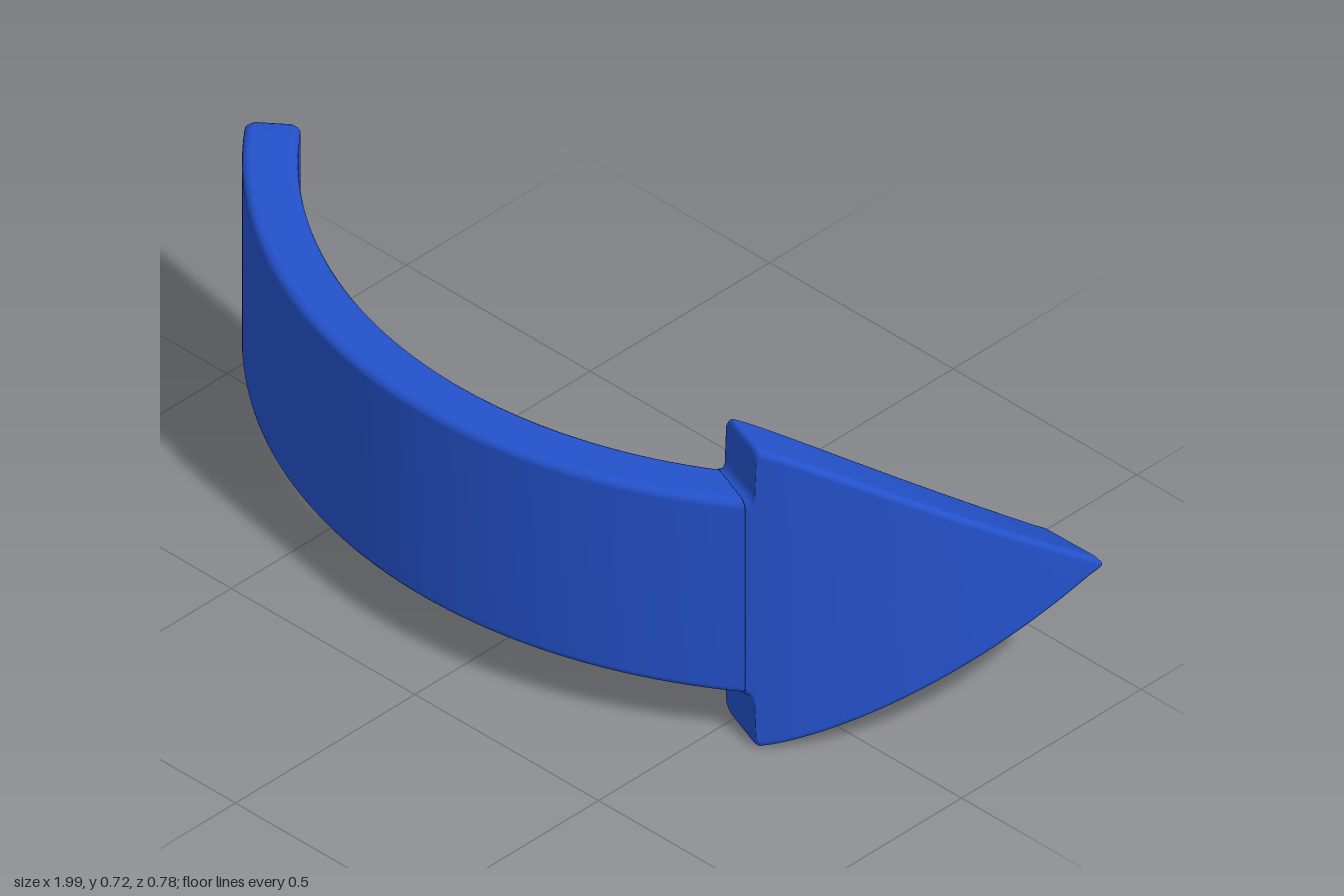
import * as THREE from 'three';

const CENTRE = [-0.09, -0.77]; // x, z of the bend axis
const MID_Y = 0.358;
const lerp = THREE.MathUtils.lerp;

// Point on the bend: angle in degrees from +z towards +x
function polar(deg, radius) {
  const a = THREE.MathUtils.degToRad(deg);
  return [CENTRE[0] + radius * Math.sin(a), CENTRE[1] + radius * Math.cos(a)];
}

// Rounded rectangle from the inner point to the outer point, half height h
function ring({ inner, outer, h, inset = 0 }) {
  const thick = Math.hypot(outer[0] - inner[0], outer[1] - inner[1]);
  const w = thick / 2 - inset, v = h - inset;
  const r = Math.min(0.018, v * 0.9);
  const points = [];
  for (let corner = 0; corner < 4; corner++) {
    const su = corner === 0 || corner === 3 ? 1 : -1;
    const sv = corner < 2 ? 1 : -1;
    for (let k = 0; k <= 4; k++) {
      const a = (corner + k / 4) * Math.PI / 2;
      const u = 0.5 + (su * (w - r) + r * Math.cos(a)) / thick;
      const y = MID_Y + sv * (v - r) + r * Math.sin(a);
      points.push([lerp(inner[0], outer[0], u), y, lerp(inner[1], outer[1], u)]);
    }
  }
  return points;
}

// Skin over successive sections, with flat caps
function loft(sections) {
  const rings = sections.map(ring);
  const n = rings[0].length, pos = [], index = [];
  rings.forEach(r => r.forEach(p => pos.push(...p)));
  for (let i = 0; i < rings.length - 1; i++) {
    for (let j = 0; j < n; j++) {
      const a = i * n + j, b = i * n + (j + 1) % n;
      index.push(a, a + n, b, b, a + n, b + n);
    }
  }
  [rings[0], rings[rings.length - 1]].forEach((r, end) => {
    const base = pos.length / 3;
    r.forEach(p => pos.push(...p));
    for (let j = 1; j < n - 1; j++) {
      if (end) index.push(base, base + j + 1, base + j);
      else index.push(base, base + j, base + j + 1);
    }
  });
  const g = new THREE.BufferGeometry();
  g.setAttribute('position', new THREE.Float32BufferAttribute(pos, 3));
  g.setIndex(index);
  g.computeVertexNormals();
  return g;
}

export function createModel() {
  const group = new THREE.Group();
  group.name = 'curvedArrow';
  const blue = new THREE.MeshStandardMaterial({ color: 0x2452cc });
  blue.name = 'blue';

  // Curved band, with a softened tail end
  const bandSection = (deg, inset = 0) =>
    ({ inner: polar(deg, 1.05), outer: polar(deg, 1.16), h: 0.233, inset });
  const band = [bandSection(-51.7, 0.014), bandSection(-51.45, 0.005), bandSection(-50.9)];
  for (let i = 1; i <= 48; i++) band.push(bandSection(lerp(-50.9, 37.5, i / 48)));
  const shaft = new THREE.Mesh(loft(band), blue);
  shaft.name = 'arrowShaft';
  group.add(shaft);

  // Head: skewed sections tapering to the tip, with a small fillet behind the wings
  const headSection = (t, h) => ({
    inner: polar(lerp(32.4, 67.8, t), lerp(1.05, 1.005, t)),
    outer: polar(lerp(36.5, 70.9, t), lerp(1.162, 1.152, t)),
    h,
  });
  const head = [[-0.03, 0.234], [-0.012, 0.239], [-0.004, 0.255], [0, 0.345], [0.006, 0.354], [0.015, 0.358]]
    .map(([t, h]) => headSection(t, h));
  for (let i = 1; i <= 36; i++) {
    const t = lerp(0.02, 0.992, i / 36);
    head.push(headSection(t, 0.36 * (1 - Math.pow(t, 1.25)) + 0.012 * t));
  }
  head.push(headSection(1, 0.006));
  const tip = new THREE.Mesh(loft(head), blue);
  tip.name = 'arrowHead';
  group.add(tip);

  return group;
}
